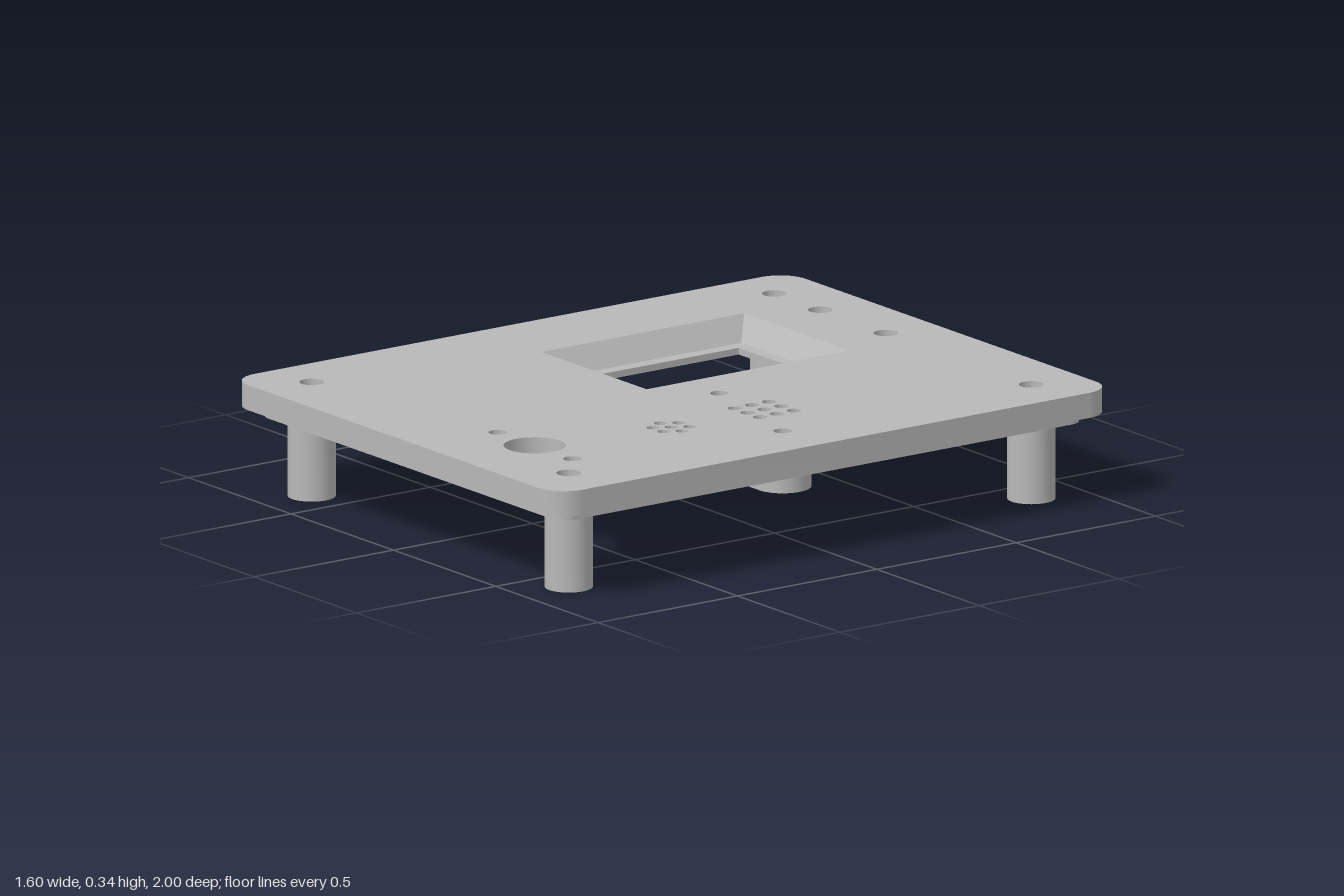
import * as THREE from 'three';
import { toCreasedNormals } from 'three/addons/utils/BufferGeometryUtils.js';

const TOP = 0.34, FLOOR = 0.265, RIM = 0.235, POCKET = 0.175;

// Shapes are drawn with x = model x and y = model z.
function roundRect(x0, x1, z0, z1, r, Type = THREE.Shape) {
  const s = new Type();
  if (r === 0) {
    return s.moveTo(x0, z0).lineTo(x1, z0).lineTo(x1, z1).lineTo(x0, z1).lineTo(x0, z0);
  }
  s.absarc(x1 - r, z1 - r, r, 0, Math.PI / 2);
  s.absarc(x0 + r, z1 - r, r, Math.PI / 2, Math.PI);
  s.absarc(x0 + r, z0 + r, r, Math.PI, Math.PI * 1.5);
  s.absarc(x1 - r, z0 + r, r, Math.PI * 1.5, Math.PI * 2);
  s.closePath();
  return s;
}

function circle(x, z, r, Type = THREE.Path) {
  return new Type().absarc(x, z, r, 0, Math.PI * 2);
}

// Upright prism between two heights, with holes
function slab(name, shape, holes, yTop, yBottom, material) {
  shape.holes.push(...holes);
  const geo = new THREE.ExtrudeGeometry(shape, { depth: yTop - yBottom, bevelEnabled: false, curveSegments: 20 });
  geo.rotateX(Math.PI / 2);
  const mesh = new THREE.Mesh(toCreasedNormals(geo, 0.6), material);
  mesh.position.y = yTop;
  mesh.name = name;
  return mesh;
}

// Joins rectangles [x0, x1, z0, z1, y] into a faceted band
function rectBand(name, rects, material) {
  const pos = [], index = [];
  for (const [x0, x1, z0, z1, y] of rects) {
    pos.push(x0, y, z0, x1, y, z0, x1, y, z1, x0, y, z1);
  }
  for (let i = 0; i < rects.length - 1; i++) {
    for (let k = 0; k < 4; k++) {
      const a = i * 4 + k, b = i * 4 + (k + 1) % 4;
      index.push(a, a + 4, b, b, a + 4, b + 4);
    }
  }
  const geo = new THREE.BufferGeometry();
  geo.setAttribute('position', new THREE.Float32BufferAttribute(pos, 3));
  geo.setIndex(index);
  const flat = geo.toNonIndexed();
  flat.computeVertexNormals();
  const mesh = new THREE.Mesh(flat, material);
  mesh.name = name;
  return mesh;
}

export function createModel() {
  const grey = new THREE.MeshStandardMaterial({ color: 0xb8b8b8, side: THREE.DoubleSide });
  grey.name = 'grey plastic';
  const model = new THREE.Group();
  model.name = 'coverPlate';

  const posts = [[-0.63, -0.83], [0.625, -0.83], [-0.63, 0.83], [0.625, 0.83]];
  const bosses = [[0.17, -0.045, -1], [0.615, 0.055, 1]];

  // Every round hole through the plate: x, z, radius
  const drill = [[-0.405, -0.83, 0.036], [-0.085, -0.83, 0.036],
    [0.14, 0.728, 0.027], [0.505, 0.728, 0.027], [0.32, 0.728, 0.09]];
  for (const [x, z] of posts) drill.push([x, z, 0.036]);
  for (const [x, z] of bosses) drill.push([x, z, 0.027]);
  for (let i = -1; i <= 1; i++) {
    for (let j = -1; j <= 1; j++) drill.push([0.392 + i * 0.061, -0.044 + j * 0.061, 0.021]);
  }
  drill.push([0.391, 0.29, 0.019]);
  for (let i = 0; i < 6; i++) {
    const a = i * Math.PI / 3;
    drill.push([0.391 + 0.053 * Math.cos(a), 0.29 + 0.053 * Math.sin(a), 0.019]);
  }

  // Plate with the window opening
  const openings = drill.map(([x, z, r]) => circle(x, z, r));
  openings.push(roundRect(-0.505, 0.01, -0.63, 0.098, 0, THREE.Path));
  model.add(slab('plate', roundRect(-0.8, 0.8, -1, 1, 0.09), openings, TOP, FLOOR, grey));

  // Sloped window surround, ledge and shallow frame underneath
  const outer = [-0.505, 0.01, -0.63, 0.098];
  const ledge = [-0.455, -0.037, -0.583, 0.048];
  const hole = [-0.413, -0.078, -0.543, 0.002];
  model.add(rectBand('windowBezel', [
    [...outer, TOP], [...ledge, 0.27], [...hole, 0.27], [...hole, 0.25],
    [...ledge, 0.25], [...ledge, FLOOR], [...outer, FLOOR],
  ], grey));

  // Locating rim around the underside
  model.add(slab('locatingRim', roundRect(-0.74, 0.74, -0.942, 0.942, 0.05),
    [roundRect(-0.712, 0.712, -0.914, 0.914, 0.03, THREE.Path)], FLOOR, RIM, grey));

  // Hollow corner posts
  for (const [x, z] of posts) {
    model.add(slab('post', circle(x, z, 0.07, THREE.Shape), [circle(x, z, 0.036)], FLOOR, 0, grey));
  }

  // Open sensor pocket with a rounded screw boss on each side
  const pocket = new THREE.Group();
  pocket.name = 'sensorPocket';
  pocket.add(slab('pocketWall', roundRect(0.215, 0.55, -0.165, 0.08, 0),
    [roundRect(0.24, 0.525, -0.14, 0.055, 0, THREE.Path)], FLOOR, POCKET, grey));
  for (const [x, z, side] of bosses) {
    const r = 0.083, flat = side < 0 ? 0.216 : 0.549;
    const s = new THREE.Shape();
    s.moveTo(flat, z - side * r);
    s.lineTo(x, z - side * r);
    const start = side * -Math.PI / 2;
    s.absarc(x, z, r, start, start + Math.PI);
    s.lineTo(flat, z + side * r);
    s.closePath();
    pocket.add(slab('screwBoss', s, [circle(x, z, 0.027)], FLOOR, POCKET, grey));
  }
  pocket.add(slab('pocketWeb', roundRect(0.549, 0.58, -0.07, -0.02, 0), [], FLOOR, 0.19, grey));
  model.add(pocket);

  return model;
}
